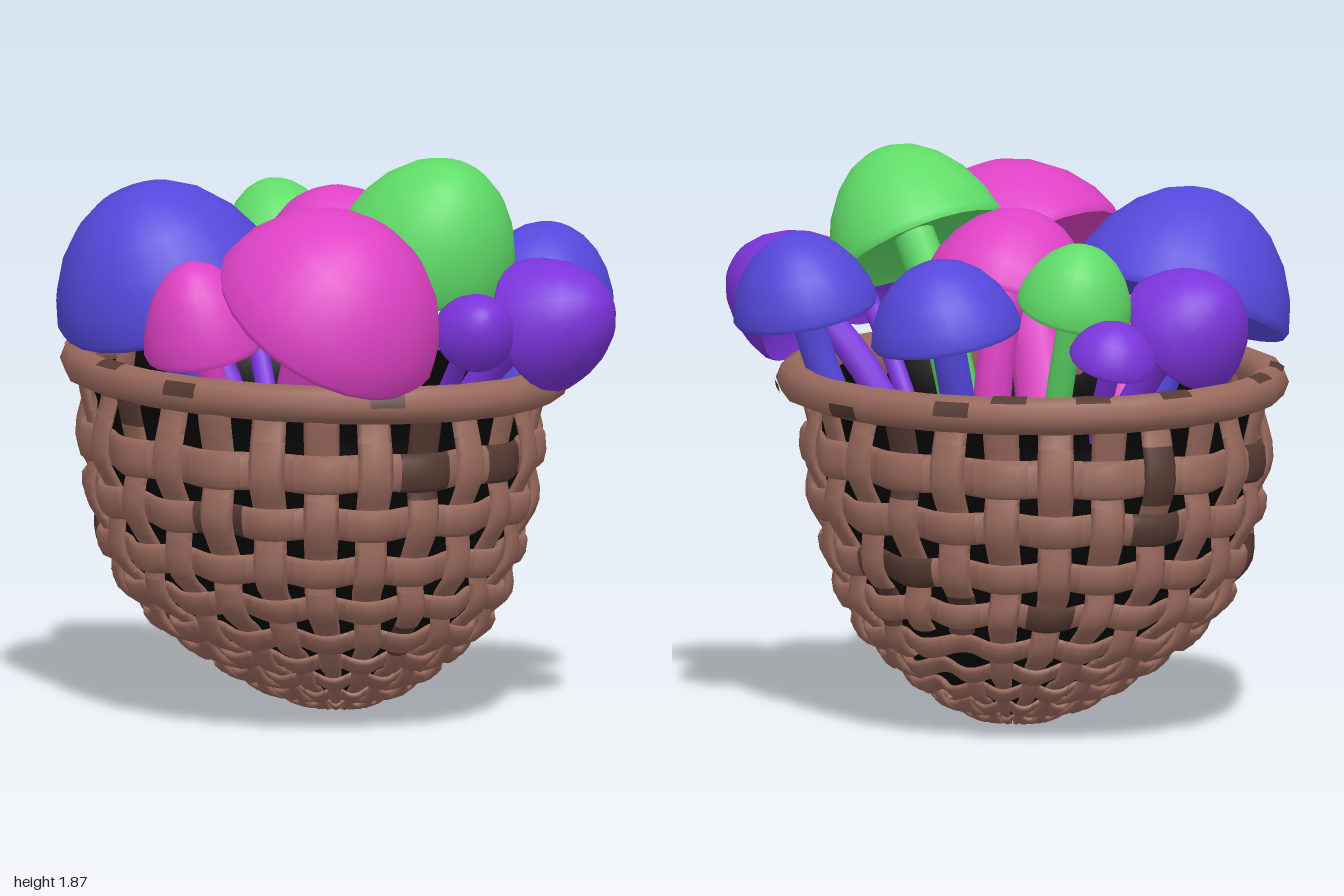
import * as THREE from 'three';
import { mergeVertices, mergeGeometries } from 'three/addons/utils/BufferGeometryUtils.js';

const material = (name, color, extra = {}) => {
  const m = new THREE.MeshStandardMaterial({ color, ...extra });
  m.name = name;
  return m;
};

// Smooth surface from a function of two parameters in 0..1
function grid(fn, nu, nv) {
  const pos = [], idx = [];
  for (let i = 0; i <= nu; i++) for (let j = 0; j <= nv; j++) pos.push(...fn(i / nu, j / nv));
  for (let i = 0; i < nu; i++) for (let j = 0; j < nv; j++) {
    const a = i * (nv + 1) + j, b = a + nv + 1;
    idx.push(a, b, b + 1, a, b + 1, a + 1);
  }
  const g = new THREE.BufferGeometry();
  g.setAttribute('position', new THREE.Float32BufferAttribute(pos, 3));
  g.setIndex(idx);
  const merged = mergeVertices(g);
  merged.computeVertexNormals();
  return merged;
}

// Basket wall: relative radius and height, one point per woven row
const profile = new THREE.CatmullRomCurve3([
  [0, 0.02], [0.16, 0.04], [0.32, 0.09], [0.46, 0.155], [0.59, 0.23], [0.73, 0.32],
  [0.84, 0.44], [0.91, 0.57], [0.97, 0.74], [1, 0.9], [1, 1.13],
].map(([r, y]) => new THREE.Vector3(r, y, 0)));
const ROWS = 9, STEPS = 10, STAKES = 26, TAU = Math.PI * 2;
const TH0 = Math.PI / STAKES, GAP = TAU / STAKES;

// Point on the wall at angle th, row coordinate k, pushed out by off
function wall(th, k, off) {
  const u = THREE.MathUtils.clamp(k / STEPS, 0, 1);
  const p = profile.getPoint(u), t = profile.getTangent(u);
  const n = new THREE.Vector2(t.y, -t.x * 0.76).normalize();
  const cx = 0.06 - 0.1 * Math.min(1, p.y / 0.5);
  return [
    cx + (0.695 * p.x + off * n.x) * Math.sin(th),
    p.y + off * n.y,
    -0.02 + (0.81 * p.x + off * n.x) * Math.cos(th),
  ];
}

// Strand relief gets finer towards the base
const relief = (k) => 0.021 * Math.min(1, 0.4 + k * 0.1);

// Rim: a thick, slightly tilted oval ring
function rimPoint(a, b, raise) {
  const th = a * TAU, f = b * TAU, c = (0.06 + raise) * Math.sin(f);
  const x = -0.025 + (0.735 + c) * Math.sin(th);
  return [x, 1.135 - 0.02 * x - (0.062 + raise) * Math.cos(f), -0.02 + (0.86 + c) * Math.cos(th)];
}

// Darkened and missing strand pieces as 'stake,row'
const darkStakes = new Set(['25,9', '25,10', '7,9', '7,10', '6,6', '8,6', '25,5', '12,9', '16,7', '19,10']);
const darkRows = new Set(['25,9', '1,9', '6,7', '7,7', '12,8', '15,9', '18,5', '21,8', '10,6']);
const missingStakes = new Set(['6,3', '6,4', '7,3', '7,4', '7,5', '8,4', '8,5']);
// Dark rim patches: first segment, first side
const darkRim = [[16, 3], [10.5, 3], [9.2, 3], [8, 3], [20.5, 2], [3.2, 1], [5.4, 1],
  [12.5, 3], [13.6, 3], [7.2, 2], [17.5, 2]];

function basket() {
  const group = new THREE.Group();
  group.name = 'basket';
  const brown = material('wicker brown', 0x9a6a5d);
  const darkBrown = material('dark brown', 0x553a32);
  const black = material('inner black', 0x050505, { side: THREE.DoubleSide });
  const add = (name, geo, mat) => {
    const m = new THREE.Mesh(geo, mat);
    m.name = name;
    group.add(m);
  };
  const light = [], dark = [];

  for (let i = 0; i < STAKES; i++) {
    const mid = TH0 + i * GAP;
    // Rows wind in and out around the stakes
    for (let k = 1; k <= ROWS; k++) {
      const list = darkRows.has(`${i},${k}`) ? dark : light;
      list.push(grid((a, b) => {
        const th = mid + (a - 0.5) * GAP, f = b * TAU;
        const wave = Math.cos(Math.PI * k + (STAKES / 2) * (th - TH0));
        return wall(th, k - 0.33 * Math.cos(f), relief(k) * (wave + 0.95 * Math.sin(f)));
      }, 6, 8));
    }
    // Upright stakes run from the base to the rim, one piece per row
    for (let s = 0; s <= STEPS; s++) {
      if (missingStakes.has(`${i},${s}`)) continue;
      const list = darkStakes.has(`${i},${s}`) ? dark : light;
      const from = Math.max(0.1, s - 0.5), to = Math.min(STEPS, s + 0.5);
      list.push(grid((a, b) => {
        const f = a * TAU, k = from + b * (to - from);
        const wave = -Math.cos(Math.PI * (k + i));
        return wall(mid - 0.33 * GAP * Math.cos(f), k, relief(k) * (wave + 0.95 * Math.sin(f)));
      }, 8, 4));
    }
  }
  add('weave', mergeGeometries(light), brown);
  add('darkWeave', mergeGeometries(dark), darkBrown);

  // Dark lining inside the weave, flaring out to meet the rim
  add('lining', grid((a, b) => {
    const k = b * STEPS;
    return wall(a * TAU, k, -1.75 * relief(k) * Math.min(1, (STEPS - k) * 2));
  }, 48, 40), black);

  add('rim', grid((a, b) => rimPoint(a, b, 0), 22, 8), brown);
  add('rimPatches', mergeGeometries(darkRim.map(([j, m]) =>
    grid((a, b) => rimPoint((j + a * 0.5) / 22, (m + b) / 8, 0.004), 1, 2))), darkBrown);
  return group;
}

// Mushroom with cap base centre c, leaning axis, cap radius r and cap height h
function mushroom(name, mat, c, axis, r, h) {
  const group = new THREE.Group();
  group.name = name;
  const base = new THREE.Vector3(...c), dir = new THREE.Vector3(...axis).normalize();
  const turn = new THREE.Quaternion().setFromUnitVectors(new THREE.Vector3(0, 1, 0), dir);
  const lathe = (part, pts) => {
    const m = new THREE.Mesh(
      new THREE.LatheGeometry(pts.map(([x, y]) => new THREE.Vector2(x * r, y * h)), 24), mat);
    m.name = part;
    m.position.copy(base);
    m.quaternion.copy(turn);
    group.add(m);
  };
  lathe('cap', [[0.97, -0.05], [1, 0.02], [0.94, 0.26], [0.8, 0.53], [0.61, 0.75],
    [0.4, 0.9], [0.2, 0.975], [0.08, 0.997], [0, 1]]);
  lathe('capUnderside', [[0, 0.12], [0.5, 0.1], [0.85, 0], [0.97, -0.05]]);

  // Stem follows the lean, then bends down towards the middle of the basket
  const knee = base.clone().addScaledVector(dir, -0.3);
  const foot = new THREE.Vector3(knee.x * 0.6, 0.65, knee.z * 0.6);
  const path = new THREE.QuadraticBezierCurve3(
    base.clone().addScaledVector(dir, 0.15 * h), knee, foot);
  const stem = new THREE.Mesh(new THREE.TubeGeometry(path, 10, r * 0.23, 10), mat);
  stem.name = 'stem';
  group.add(stem);
  return group;
}

export function createModel() {
  const model = new THREE.Group();
  model.name = 'mushroomBasket';
  model.add(basket());

  const pink = material('magenta', 0xdf42c6);
  const green = material('green', 0x60dc68);
  const blue = material('blue', 0x5548dc);
  const purple = material('purple', 0x7c34dc);
  [
    ['bigMagentaMushroom', pink, [-0.355, 1.41, 0.555], [0.15, 0.8, 0.58], 0.39, 0.36],
    ['smallMagentaMushroom', pink, [-0.56, 1.28, 0.14], [-0.25, 0.95, 0.08], 0.2, 0.29],
    ['middleMagentaMushroom', pink, [0.13, 1.44, -0.1], [-0.36, 0.92, 0], 0.28, 0.285],
    ['bigGreenMushroom', green, [0.155, 1.55, 0.37], [0.08, 0.84, 0.52], 0.295, 0.345],
    ['smallGreenMushroom', green, [0.21, 1.455, -0.585], [0, 0.94, -0.33], 0.19, 0.22],
    ['bigBlueMushroom', blue, [-0.435, 1.385, -0.27], [-0.38, 0.92, 0.05], 0.375, 0.385],
    ['frontBlueMushroom', blue, [0.59, 1.37, 0.395], [0.22, 0.97, 0], 0.24, 0.255],
    ['backBlueMushroom', blue, [0.54, 1.365, -0.33], [0.2, 0.98, 0], 0.25, 0.25],
    ['frontPurpleMushroom', purple, [0.36, 1.345, 0.74], [0.33, 0.36, 0.87], 0.225, 0.275],
    ['smallFrontPurpleMushroom', purple, [0.085, 1.34, 0.76], [-0.2, 0.55, 0.8], 0.135, 0.165],
    ['backPurpleMushroom', purple, [-0.155, 1.35, -0.68], [-0.22, 0.6, -0.75], 0.22, 0.24],
    ['smallBackPurpleMushroom', purple, [0.25, 1.32, -0.86], [0.05, 0.88, -0.4], 0.145, 0.125],
  ].forEach((m) => model.add(mushroom(...m)));
  return model;
}
